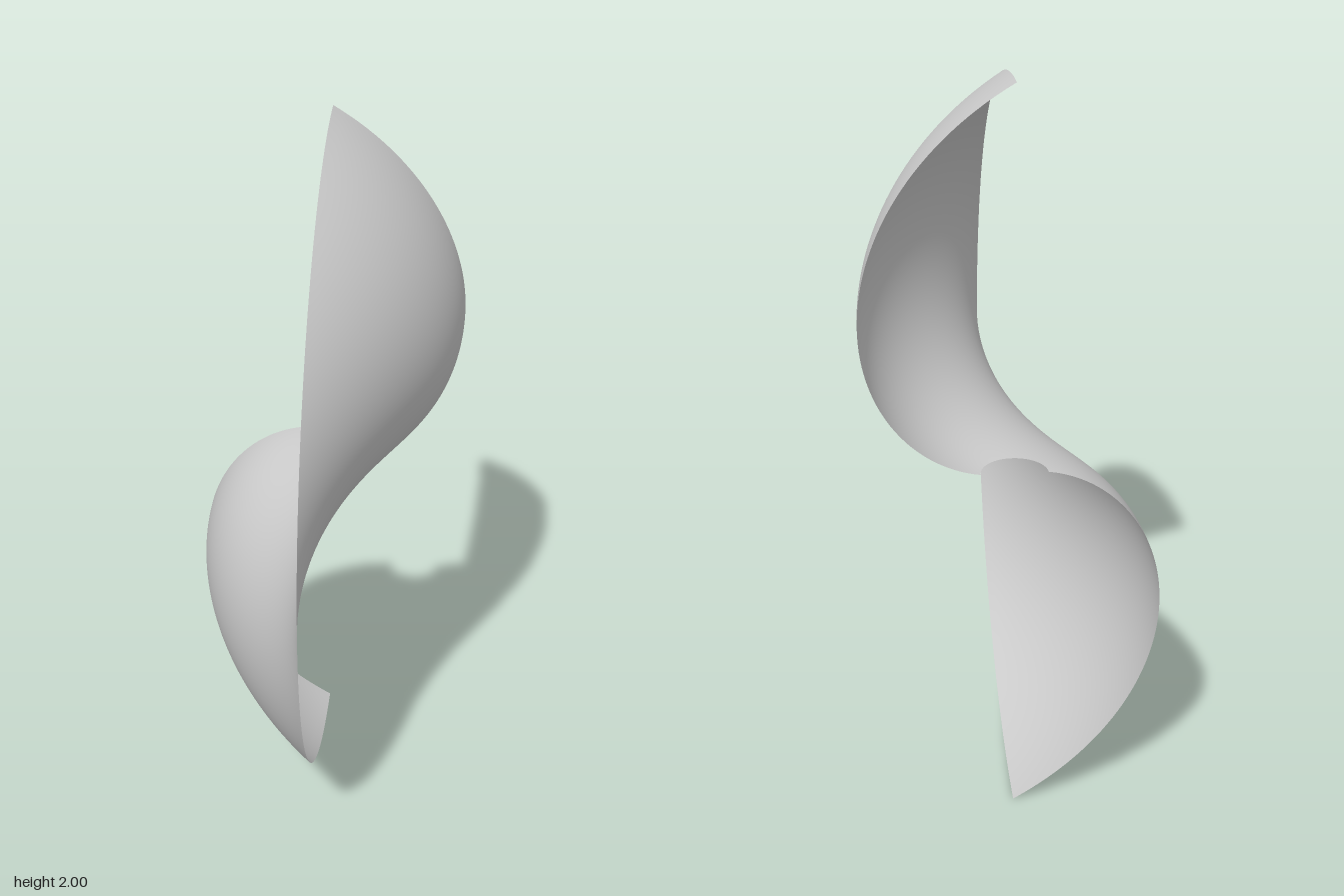
import * as THREE from 'three';

// Half ring, twisted about the z axis: each radius turns further, up to a quarter turn at the hole.
export function createModel() {
  const inner = 0.086, outer = 1;
  const geometry = new THREE.RingGeometry(inner, outer, 96, 64, -Math.PI / 2, Math.PI);
  const pos = geometry.attributes.position;
  for (let i = 0; i < pos.count; i++) {
    const forward = pos.getX(i), height = pos.getY(i);
    const radius = Math.hypot(forward, height);
    const twist = (Math.PI / 2) * (outer - radius) / (outer - inner);
    pos.setXYZ(i, height * Math.sin(twist), 1 + height * Math.cos(twist), forward - 0.5);
  }
  // the ring's plane was turned to face -x, so reverse the corners to face +x
  const index = geometry.index.array;
  for (let i = 0; i < index.length; i += 3) {
    [index[i], index[i + 1]] = [index[i + 1], index[i]];
  }
  geometry.computeVertexNormals();

  const material = new THREE.MeshStandardMaterial({ color: 0xcccccc, side: THREE.DoubleSide });
  const sheet = new THREE.Mesh(geometry, material);
  sheet.name = 'twistedHalfDisc';

  const group = new THREE.Group();
  group.name = 'twistedSurface';
  group.add(sheet);
  return group;
}
